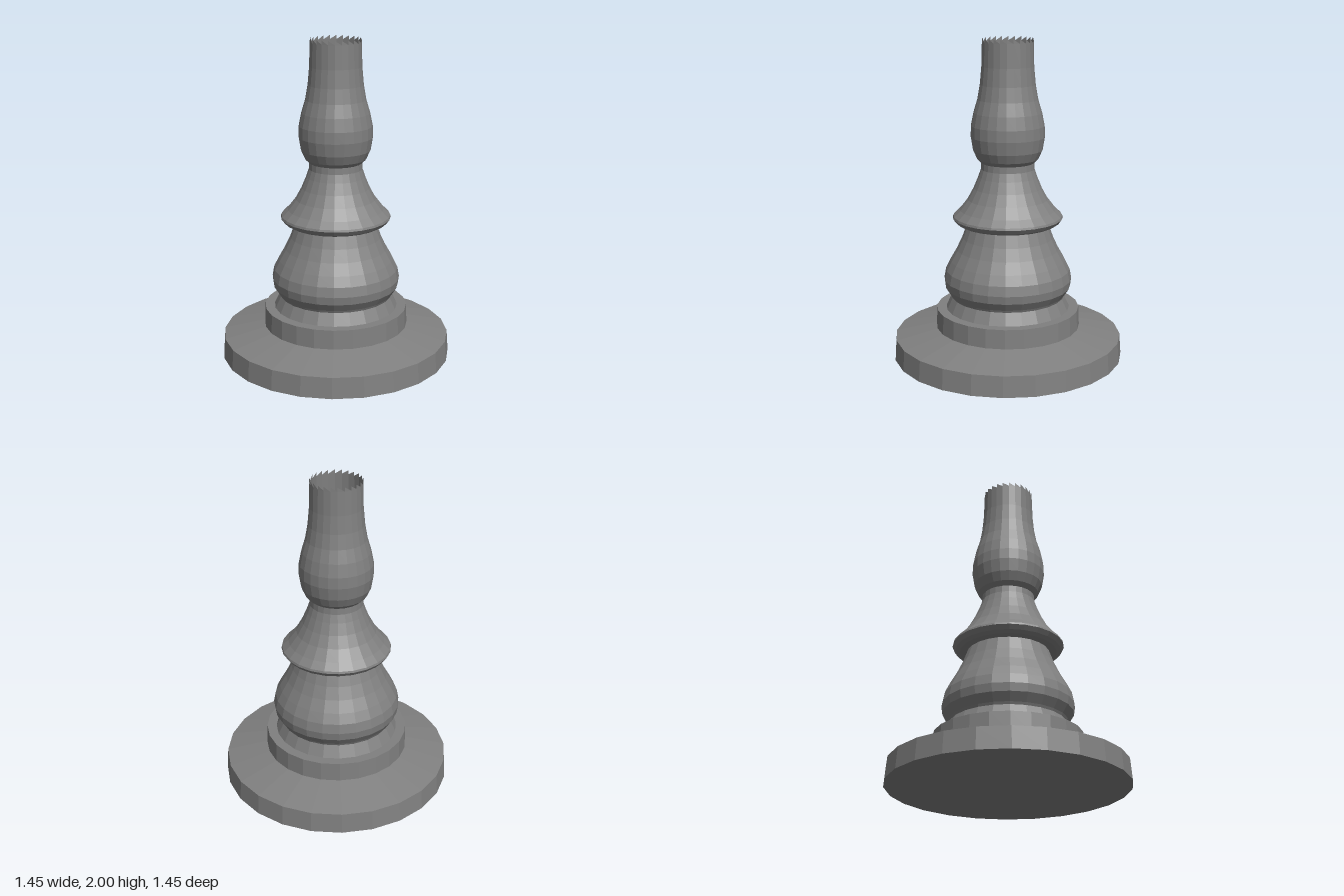
import * as THREE from 'three';

const SIDES = 24;

export function createModel() {
  const model = new THREE.Group();
  const stone = new THREE.MeshStandardMaterial({ color: 0x808080, flatShading: true, side: THREE.DoubleSide });
  stone.name = 'grey stone';

  const add = (name, geometry) => {
    const mesh = new THREE.Mesh(geometry, stone);
    mesh.name = name;
    model.add(mesh);
  };
  // Revolve a [radius, height] profile, listed from bottom to top
  const turn = (name, profile) =>
    add(name, new THREE.LatheGeometry(profile.map(([r, y]) => new THREE.Vector2(r, y)), SIDES));

  // Closed underside; the shaft above is hollow
  const bottom = new THREE.CircleGeometry(0.725, SIDES);
  bottom.rotateX(Math.PI / 2);
  add('underside', bottom);

  turn('base', [[0.725, 0], [0.715, 0.13], [0.455, 0.19]]);
  turn('plinth', [[0.455, 0.19], [0.45, 0.31], [0.39, 0.31]]);
  turn('lowerBody', [
    [0.39, 0.31], [0.355, 0.385], [0.362, 0.4], [0.395, 0.45], [0.402, 0.5], [0.39, 0.56],
    [0.36, 0.62], [0.32, 0.69], [0.285, 0.765], [0.254, 0.85],
  ]);
  turn('collar', [
    [0.254, 0.85], [0.3, 0.853], [0.325, 0.867], [0.344, 0.893], [0.34, 0.906], [0.3, 0.945],
    [0.25, 1.01], [0.212, 1.08], [0.183, 1.15], [0.166, 1.2], [0.164, 1.24],
  ]);
  turn('shaft', [
    [0.164, 1.24], [0.19, 1.265], [0.215, 1.32], [0.228, 1.4], [0.226, 1.47], [0.21, 1.55],
    [0.186, 1.63], [0.17, 1.72], [0.16, 1.83], [0.156, 1.975],
  ]);

  // One slanted tooth per side around the open rim
  const teeth = [];
  const rim = (i, y) => {
    const a = (i / SIDES) * Math.PI * 2;
    return [0.156 * Math.sin(a), y, 0.156 * Math.cos(a)];
  };
  for (let i = 0; i < SIDES; i++) teeth.push(...rim(i, 1.975), ...rim(i + 1, 1.975), ...rim(i, 2));
  const crown = new THREE.BufferGeometry();
  crown.setAttribute('position', new THREE.Float32BufferAttribute(teeth, 3));
  crown.computeVertexNormals();
  add('rimTeeth', crown);

  return model;
}
